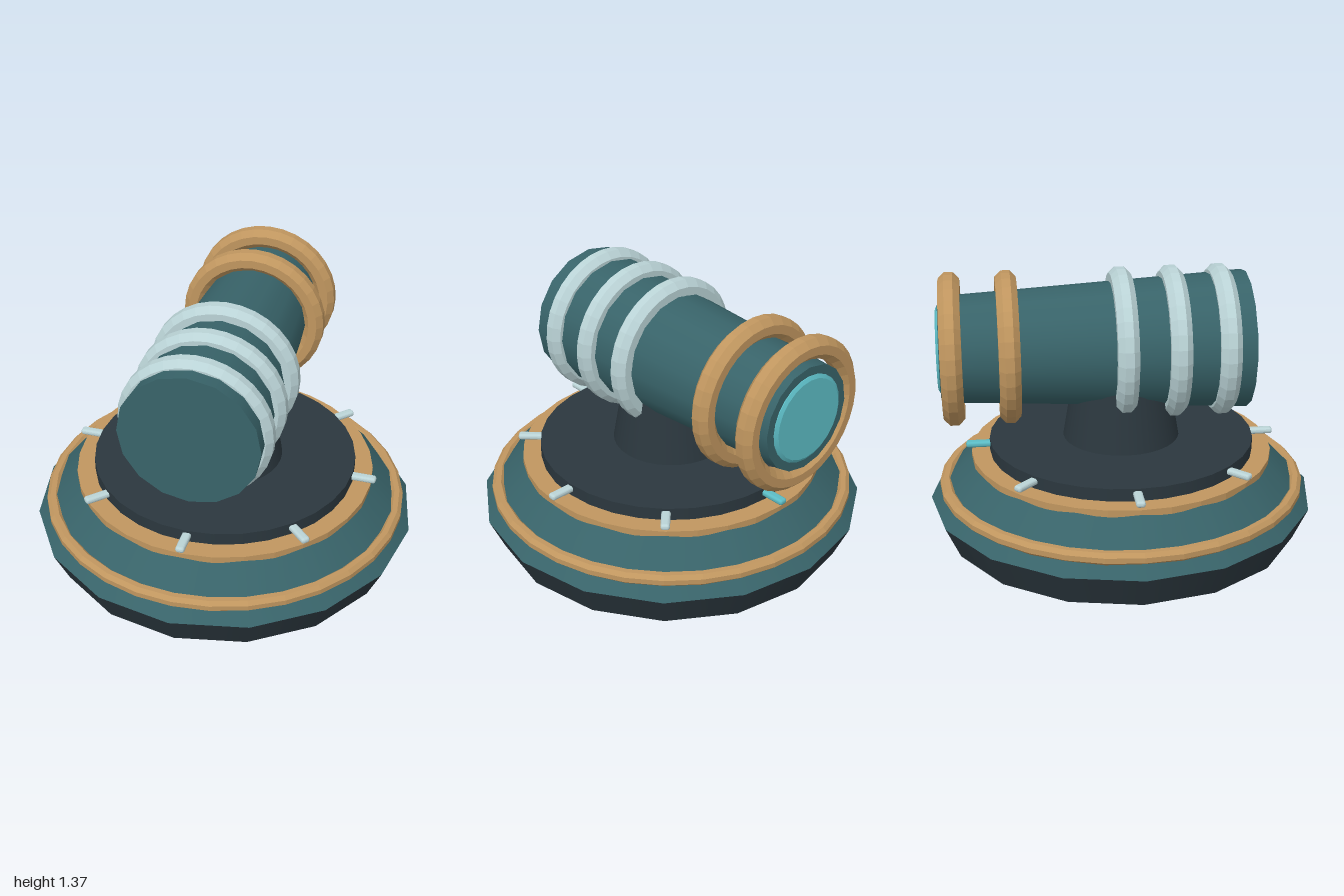
import * as THREE from 'three';
import { RoundedBoxGeometry } from 'three/addons/geometries/RoundedBoxGeometry.js';

const mat = (name, color, extra = {}) => {
  const m = new THREE.MeshStandardMaterial({ color, ...extra });
  m.name = name;
  return m;
};

export function createModel() {
  const group = new THREE.Group();
  const teal = mat('teal', 0x386369);
  const dark = mat('dark slate', 0x2b373e);
  const gold = mat('brass', 0xc0965f, { flatShading: true });
  const silver = mat('pale silver', 0xbad3d6, { flatShading: true });
  const cyan = mat('cyan', 0x5cbcc5);

  const add = (name, geometry, material, x = 0, y = 0, z = 0) => {
    const mesh = new THREE.Mesh(geometry, material);
    mesh.name = name;
    mesh.position.set(x, y, z);
    group.add(mesh);
    return mesh;
  };

  // Upright tapered disc between two heights
  const disc = (name, rBottom, rTop, y0, y1, sides, material) =>
    add(name, new THREE.CylinderGeometry(rTop, rBottom, y1 - y0, sides), material, 0, (y0 + y1) / 2);

  // Ring around y with an octagonal section that has a flat outer band
  const ringGeometry = (radius, tube, sides) => {
    const points = [];
    for (let i = 0; i <= 8; i++) {
      const a = (i + 0.5) * Math.PI / 4 - Math.PI;
      points.push(new THREE.Vector2(radius + tube * Math.cos(a), tube * Math.sin(a)));
    }
    return new THREE.LatheGeometry(points, sides);
  };

  // Stepped base
  disc('foot', 0.925, 1, 0, 0.17, 16, dark);
  disc('baseSlope', 1, 0.78, 0.17, 0.4, 16, teal);
  add('baseRing', ringGeometry(0.918, 0.035, 32), gold, 0, 0.25, 0);
  disc('brassPlate', 0.78, 0.78, 0.39, 0.425, 32, gold);
  disc('turntable', 0.685, 0.685, 0.425, 0.49, 32, dark);

  // Eight pins round the turntable, the rear one glowing
  const pinGeometry = new RoundedBoxGeometry(0.046, 0.032, 0.17, 2, 0.014);
  for (let i = 0; i < 8; i++) {
    const a = i * Math.PI / 4;
    const pin = add(i === 4 ? 'rearPin' : 'pin', pinGeometry, i === 4 ? cyan : silver,
      Math.sin(a) * 0.722, 0.463, Math.cos(a) * 0.722);
    pin.rotation.y = a;
  }

  // Pedestal
  disc('pedestal', 0.303, 0.24, 0.48, 0.85, 32, dark);

  // Barrel lying along z
  const axis = 0.988;
  const lay = (mesh) => { mesh.rotation.x = Math.PI / 2; return mesh; };
  lay(add('barrel', new THREE.CylinderGeometry(0.354, 0.267, 1.55, 16), teal, 0, axis, -0.14));

  // Barrel bands
  const bandGeometry = ringGeometry(0.333, 0.057, 32);
  for (const z of [0.505, 0.26, 0]) lay(add('silverBand', bandGeometry, silver, 0, axis, z));
  for (const z of [-0.575, -0.856]) lay(add('brassBand', bandGeometry, gold, 0, axis, z));

  // Bevelled lens on the rear end
  lay(add('lensRim', new THREE.CylinderGeometry(0.222, 0.205, 0.01, 24, 1, true), cyan, 0, axis, -0.924));
  lay(add('lensEdge', new THREE.CylinderGeometry(0.222, 0.222, 0.009, 24), cyan, 0, axis, -0.9145));
  lay(add('lens', new THREE.CylinderGeometry(0.205, 0.205, 0.009, 24), cyan, 0, axis, -0.9245));

  return group;
}
